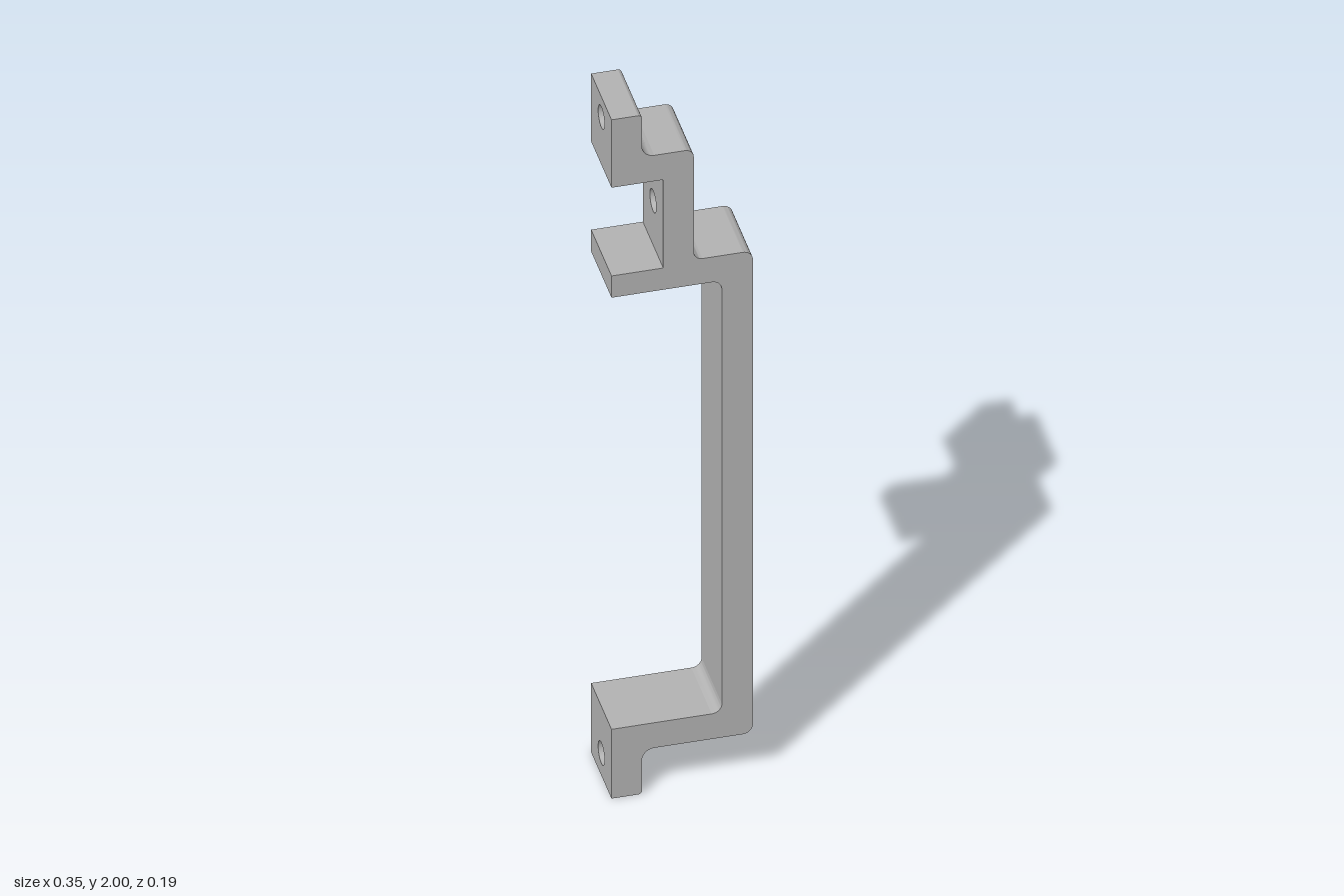
import * as THREE from 'three';
import { toCreasedNormals } from 'three/addons/utils/BufferGeometryUtils.js';

const HALF = 0.096;            // half width of the strap
const HOLE_R = 0.03;           // screw hole radius
const SPOT_R = 0.062;          // screw head clearance cut into the bends
const TAB_X = -0.1;            // outer face of the mounting tabs

// Outline, counter-clockwise: x, y, bend radius, height of screw axis if the bend is relieved
const OUTLINE = [
  [-0.175, 0, 0], [TAB_X, 0, 0.01], [TAB_X, 0.13, 0.03, 0.066], [0.172, 0.13, 0.025],
  [0.172, 1.55, 0.025], [0.027, 1.55, 0.022], [0.027, 1.876, 0.022], [TAB_X, 1.876, 0.03, 1.94],
  [TAB_X, 2, 0.01], [-0.175, 2, 0], [-0.175, 1.8, 0], [-0.048, 1.8, 0],
  [-0.048, 1.54, 0], [-0.175, 1.54, 0], [-0.175, 1.476, 0], [0.096, 1.476, 0.025],
  [0.096, 0.204, 0.025], [-0.175, 0.204, 0],
];
// Screw holes along x: height, inner face, outer face
const HOLES = [[0.066, -0.175, TAB_X], [1.67, -0.048, 0.027], [1.94, -0.175, TAB_X]];

// Surface through columns of [x, y] points, one column per z
function sheet(columns, zs) {
  const rows = columns[0].length, pos = [], index = [];
  columns.forEach((col, j) => col.forEach(([x, y]) => pos.push(x, y, zs[j])));
  for (let j = 0; j < zs.length - 1; j++) {
    for (let i = 0; i < rows - 1; i++) {
      const a = j * rows + i, d = a + rows;
      index.push(a, a + 1, d + 1, a, d + 1, d);
    }
  }
  const g = new THREE.BufferGeometry();
  g.setAttribute('position', new THREE.Float32BufferAttribute(pos, 3));
  g.setIndex(index);
  return toCreasedNormals(g, 0.7);
}

// Points round a corner from the incoming to the outgoing edge
function arc(c, r, d1, d2, n = 10) {
  const pts = [];
  for (let i = 0; i <= n; i++) {
    const t = (i / n) * Math.PI / 2;
    const a = r * (Math.sin(t) - 1), b = r * (1 - Math.cos(t));
    pts.push([c.x + d1.x * a + d2.x * b, c.y + d1.y * a + d2.y * b]);
  }
  return pts;
}

// Inside bend with a round relief for the screw head
function relievedBend(shelfY, r, axisY) {
  const up = Math.sign(axisY - shelfY), gap = Math.abs(axisY - shelfY);
  const reach = Math.sqrt(SPOT_R ** 2 - (gap - r) ** 2), zs = [-HALF];
  for (let i = 0; i <= 24; i++) zs.push(reach * (i / 12 - 1));
  zs.push(HALF);
  const columns = zs.map((z) => {
    const cut = gap - Math.sqrt(Math.max(0, SPOT_R ** 2 - z * z));
    const h = THREE.MathUtils.clamp(cut, 0, r);
    const end = Math.acos(1 - h / r), col = [];
    for (let i = 0; i <= 10; i++) {
      const s = end * i / 10;
      col.push([TAB_X + r * (1 - Math.sin(s)), shelfY + up * r * (1 - Math.cos(s))]);
    }
    col.push([TAB_X, shelfY + up * h], [TAB_X, shelfY + up * r]);
    return up > 0 ? col : col.reverse();
  });
  return sheet(columns, zs);
}

function circlePath(x, y) {
  return new THREE.Path().absarc(x, y, HOLE_R, 0, Math.PI * 2, true);
}

export function createModel() {
  const metal = new THREE.MeshStandardMaterial({ color: 0xb3b3b3 });
  metal.name = 'grey metal';
  const model = new THREE.Group();
  model.name = 'pullHandle';
  const add = (name, geometry) => {
    const m = new THREE.Mesh(geometry, metal);
    m.name = name;
    model.add(m);
    return m;
  };

  const n = OUTLINE.length;
  const P = OUTLINE.map(([x, y]) => new THREE.Vector2(x, y));
  const dir = P.map((p, i) => P[(i + 1) % n].clone().sub(p).normalize());
  const profile = [];

  OUTLINE.forEach(([x, y, r, axisY], i) => {
    const d2 = dir[i], next = (i + 1) % n;

    // Rounded bends
    if (r > 0) {
      const pts = arc(P[i], r, dir[(i + n - 1) % n], d2);
      profile.push(...pts);
      add('bend', axisY ? relievedBend(y, r, axisY) : sheet([pts, pts], [-HALF, HALF]));
    } else profile.push([x, y]);

    // Flat wall from this corner to the next, pierced by screw holes
    const u0 = r, u1 = P[i].distanceTo(P[next]) - OUTLINE[next][2];
    const wall = new THREE.Shape([[u0, -HALF], [u1, -HALF], [u1, HALF], [u0, HALF]]
      .map(([u, v]) => new THREE.Vector2(u, v)));
    for (const [hy, xa, xb] of HOLES) {
      const u = (hy - y) * d2.y;
      if (Math.abs(d2.y) > 0.5 && (x === xa || x === xb) && u > u0 && u < u1) {
        wall.holes.push(circlePath(u, 0));
      }
    }
    const g = new THREE.ShapeGeometry(wall, 24);
    g.applyMatrix4(new THREE.Matrix4().makeBasis(
      new THREE.Vector3(d2.x, d2.y, 0),
      new THREE.Vector3(0, 0, 1),
      new THREE.Vector3(d2.y, -d2.x, 0),
    ).setPosition(x, y, 0));
    add('wall', g);
  });

  // Flat sides
  const side = new THREE.Shape(profile.map(([x, y]) => new THREE.Vector2(x, y)));
  add('frontSide', new THREE.ShapeGeometry(side)).position.z = HALF;
  const back = new THREE.ShapeGeometry(side);
  back.index.array.reverse();
  back.computeVertexNormals();
  add('backSide', back).position.z = -HALF;

  // Inner surfaces of the screw holes
  for (const [hy, xa, xb] of HOLES) {
    const half = (xb - xa) / 2;
    const bore = new THREE.LatheGeometry(
      [new THREE.Vector2(HOLE_R, half), new THREE.Vector2(HOLE_R, -half)], 48);
    bore.rotateZ(Math.PI / 2);
    add('screwHole', bore).position.set((xa + xb) / 2, hy, 0);
  }
  return model;
}
